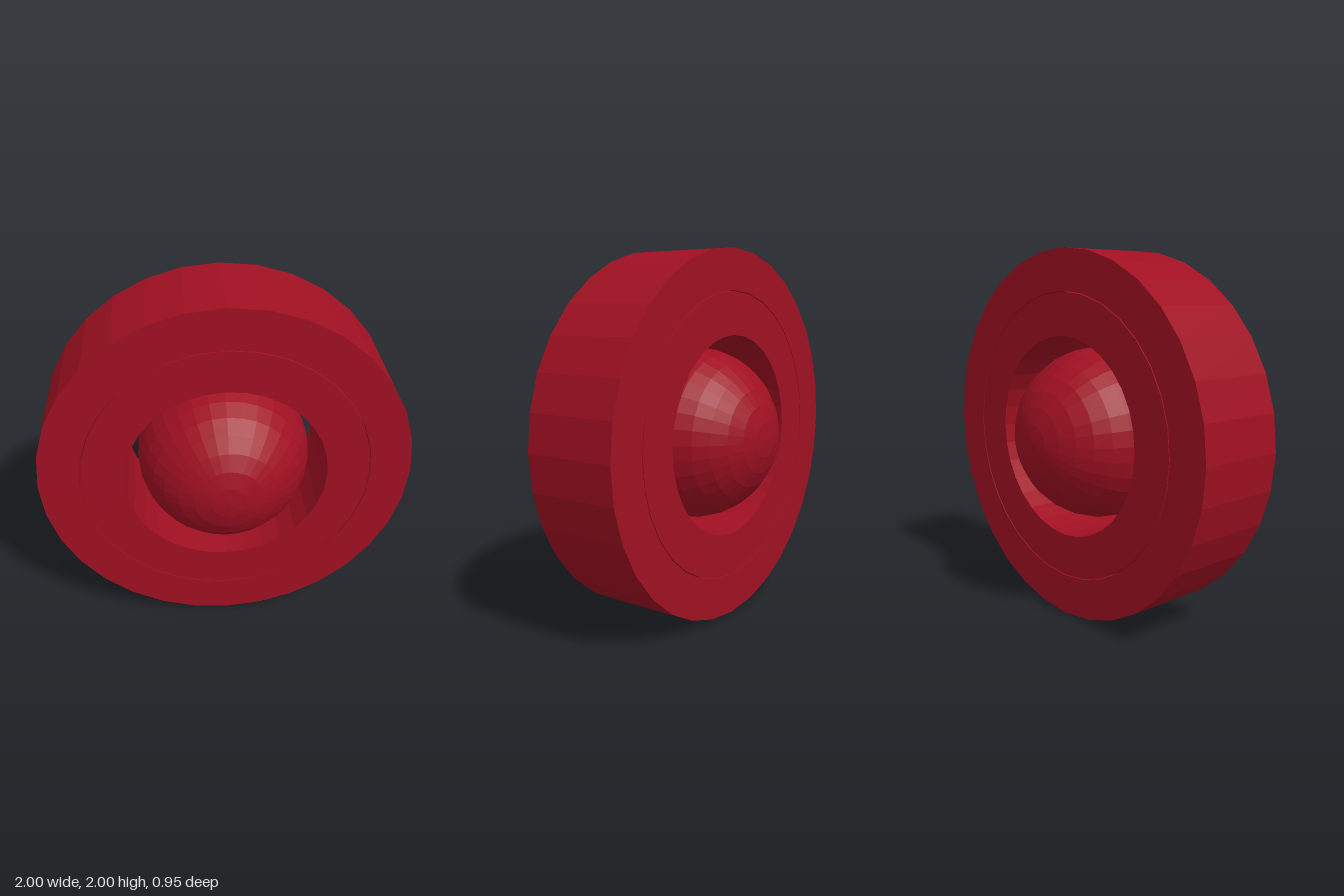
import * as THREE from 'three';

const SIDES = 32;
const HALF_DEPTH = 0.26;

export function createModel() {
  const group = new THREE.Group();
  const red = new THREE.MeshStandardMaterial({ color: 0xa01022, flatShading: true });

  const add = (name, geometry) => {
    geometry.rotateX(Math.PI / 2); // axis along z
    const mesh = new THREE.Mesh(geometry, red);
    mesh.name = name;
    mesh.position.y = 1;
    group.add(mesh);
  };

  // Solid ring with a rectangular section
  const ring = (inner, outer) => new THREE.LatheGeometry([
    [inner, -HALF_DEPTH], [outer, -HALF_DEPTH], [outer, HALF_DEPTH],
    [inner, HALF_DEPTH], [inner, -HALF_DEPTH],
  ].map(([r, y]) => new THREE.Vector2(r, y)), SIDES);

  // Two nested rings with a hairline gap between them
  add('outerRing', ring(0.78, 1));
  add('innerRing', ring(0.545, 0.775));

  // Ball floating in the bore, poles facing front and back
  add('ball', new THREE.SphereGeometry(0.475, SIDES, SIDES / 2));

  return group;
}
